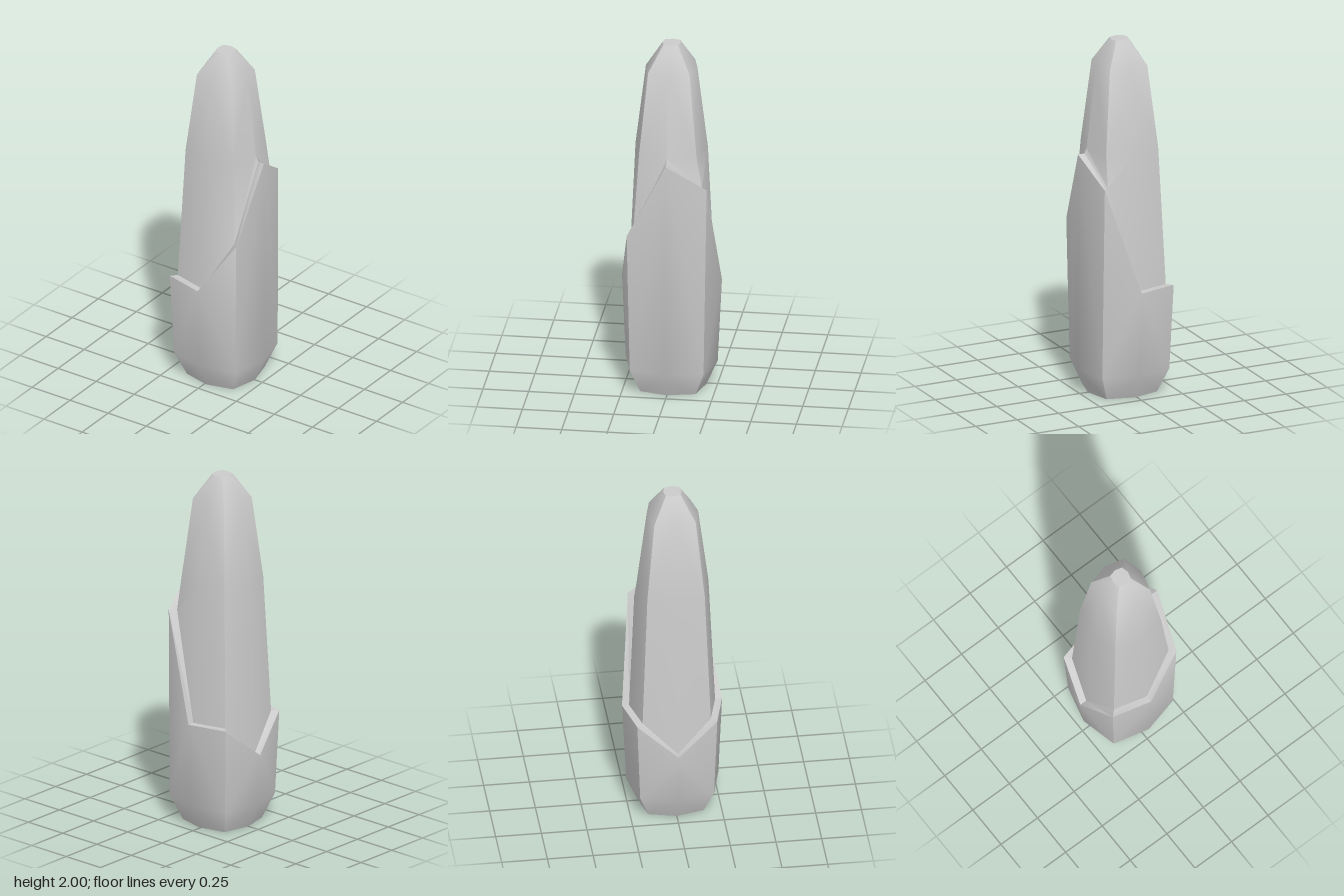
import * as THREE from 'three';
import { toCreasedNormals } from 'three/addons/utils/BufferGeometryUtils.js';

const CX = 0.01; // the axis sits slightly off centre

// Eight-point ring, starting at +x and turning towards +z; a = axis radius, d = diagonal offset
function ring(y, a, d) {
  return [[a, 0], [d, d], [0, a], [-d, d], [-a, 0], [-d, -d], [0, -a], [d, -d]]
    .map(([x, z]) => [CX + x, y, z]);
}

// Uneven rim of the sheath: outer corners and where each meets the core
const rimOuter = [
  [0.26, 1.37, 0], [0.225, 0.935, 0.217], [0.01, 0.62, 0.272], [-0.21, 0.62, 0.217],
  [-0.265, 0.435, 0], [-0.21, 0.62, -0.22], [0.01, 0.62, -0.275], [0.205, 1.22, -0.218],
];
const rimInner = [
  [0.222, 1.37, 0], [0.195, 0.935, 0.186], [0.01, 0.62, 0.234], [-0.178, 0.62, 0.186],
  [-0.225, 0.435, 0], [-0.178, 0.62, -0.187], [0.01, 0.62, -0.236], [0.172, 1.22, -0.187],
];

// Skin a stack of rings from bottom to top, with optional end caps
function loft(rings, capBottom, capTop) {
  const n = 8, pos = [], idx = [];
  rings.forEach(r => r.forEach(p => pos.push(...p)));
  for (let k = 0; k < rings.length - 1; k++) {
    for (let i = 0; i < n; i++) {
      const j = (i + 1) % n;
      const a = k * n + i, b = k * n + j, c = a + n, d = b + n;
      // split each quad away from the sharp diagonal corners, mirrored side to side
      if (i % 2) idx.push(a, c, d, a, d, b);
      else idx.push(a, c, b, b, c, d);
    }
  }
  const top = (rings.length - 1) * n;
  for (let i = 1; i < n - 1; i++) {
    if (capBottom) idx.push(0, i, i + 1);
    if (capTop) idx.push(top, top + i + 1, top + i);
  }
  const g = new THREE.BufferGeometry();
  g.setAttribute('position', new THREE.Float32BufferAttribute(pos, 3));
  g.setIndex(idx);
  return toCreasedNormals(g.toNonIndexed(), THREE.MathUtils.degToRad(45));
}

export function createModel() {
  const group = new THREE.Group();
  const material = new THREE.MeshStandardMaterial({ color: 0xcccccc, side: THREE.DoubleSide });
  const add = (name, geometry) => {
    const mesh = new THREE.Mesh(geometry, material);
    mesh.name = name;
    group.add(mesh);
  };

  // Sheath: bevelled foot, flared wall and jagged rim ledge
  add('sheath', loft([ring(0, 0.19, 0.152), ring(0.14, 0.252, 0.202), rimOuter, rimInner], true, false));

  // Core: tapering shaft rising out of the rim to a small blunt tip
  add('core', loft([rimInner, ring(1.4, 0.198, 0.157), ring(1.86, 0.141, 0.113), ring(2, 0.05, 0.04)], false, true));

  return group;
}
